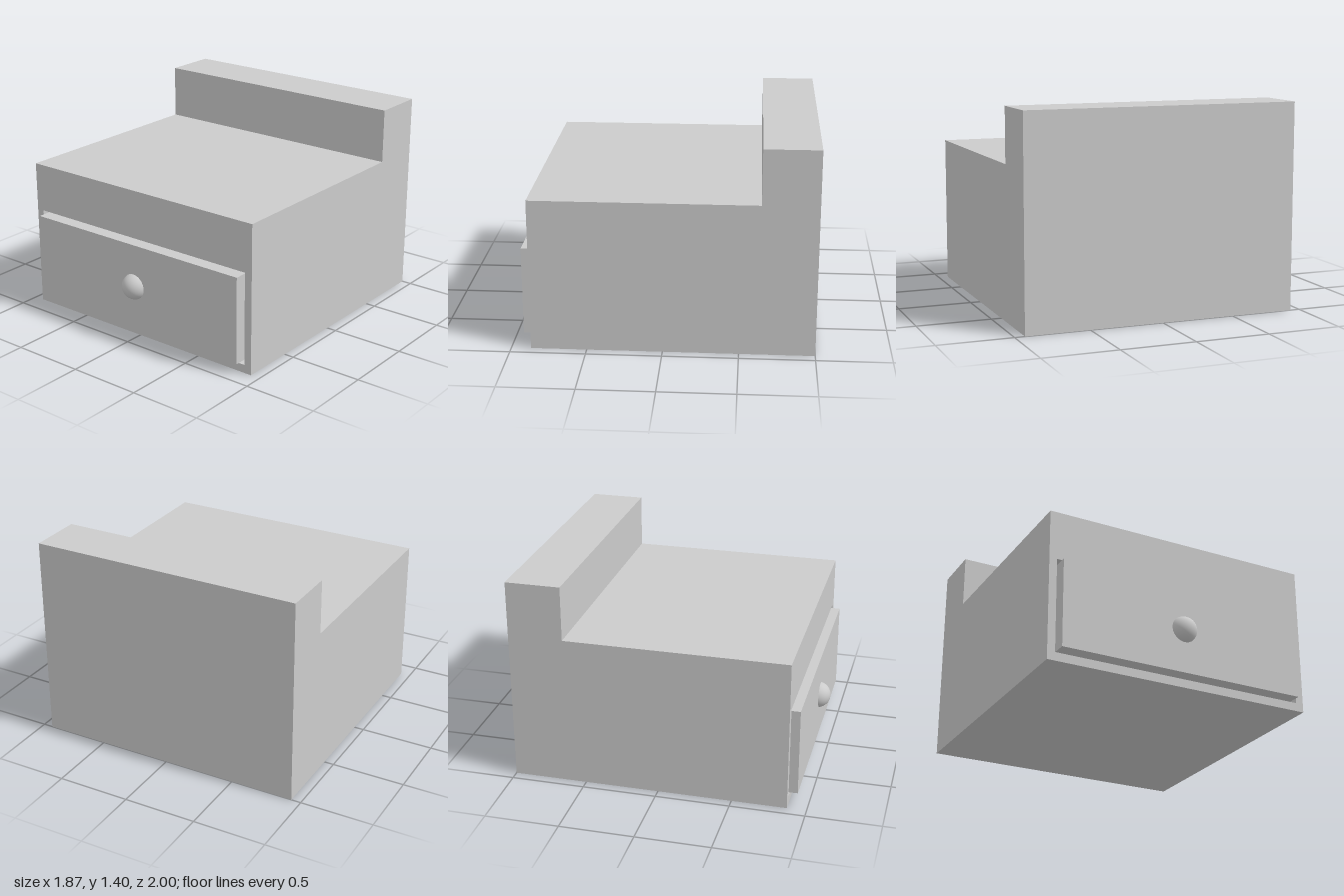
import * as THREE from 'three';

const material = new THREE.MeshStandardMaterial({ color: 0xcccccc });

function addMesh(parent, name, geometry, x = 0, y = 0, z = 0) {
  const mesh = new THREE.Mesh(geometry, material);
  mesh.name = name;
  mesh.position.set(x, y, z);
  parent.add(mesh);
  return mesh;
}

// Adds a box given by its minimum and maximum corners
function addBox(parent, name, [x0, y0, z0], [x1, y1, z1]) {
  const geometry = new THREE.BoxGeometry(x1 - x0, y1 - y0, z1 - z0);
  return addMesh(parent, name, geometry, (x0 + x1) / 2, (y0 + y1) / 2, (z0 + z1) / 2);
}

// Rectangle outline, for a shape or a hole
function rectangle(Type, halfWidth, y0, y1) {
  return new Type([
    new THREE.Vector2(-halfWidth, y0),
    new THREE.Vector2(halfWidth, y0),
    new THREE.Vector2(halfWidth, y1),
    new THREE.Vector2(-halfWidth, y1),
  ]);
}

export function createModel() {
  const model = new THREE.Group();
  model.name = 'drawerCabinet';

  const halfWidth = 0.933;
  const front = 0.87;
  const step = -0.63;

  // Cabinet body, with an opening for the drawer
  const outline = rectangle(THREE.Shape, halfWidth, 0, 1.03);
  outline.holes.push(rectangle(THREE.Path, 0.88, 0.057, 0.695));
  const body = new THREE.ExtrudeGeometry(outline, { depth: front - step, bevelEnabled: false });
  addMesh(model, 'cabinetBody', body, 0, 0, step);

  // Raised back, which also closes the opening
  addBox(model, 'raisedBack', [-halfWidth, 0, -1], [halfWidth, 1.4, step]);

  // Drawer standing slightly proud of the body, with a round knob
  const drawer = new THREE.Group();
  drawer.name = 'drawer';
  addBox(drawer, 'drawerBox', [-0.86, 0.077, step + 0.03], [0.86, 0.675, 0.927]);
  addMesh(drawer, 'knob', new THREE.SphereGeometry(0.09, 32, 24), 0, 0.377, 0.91);
  model.add(drawer);

  return model;
}
